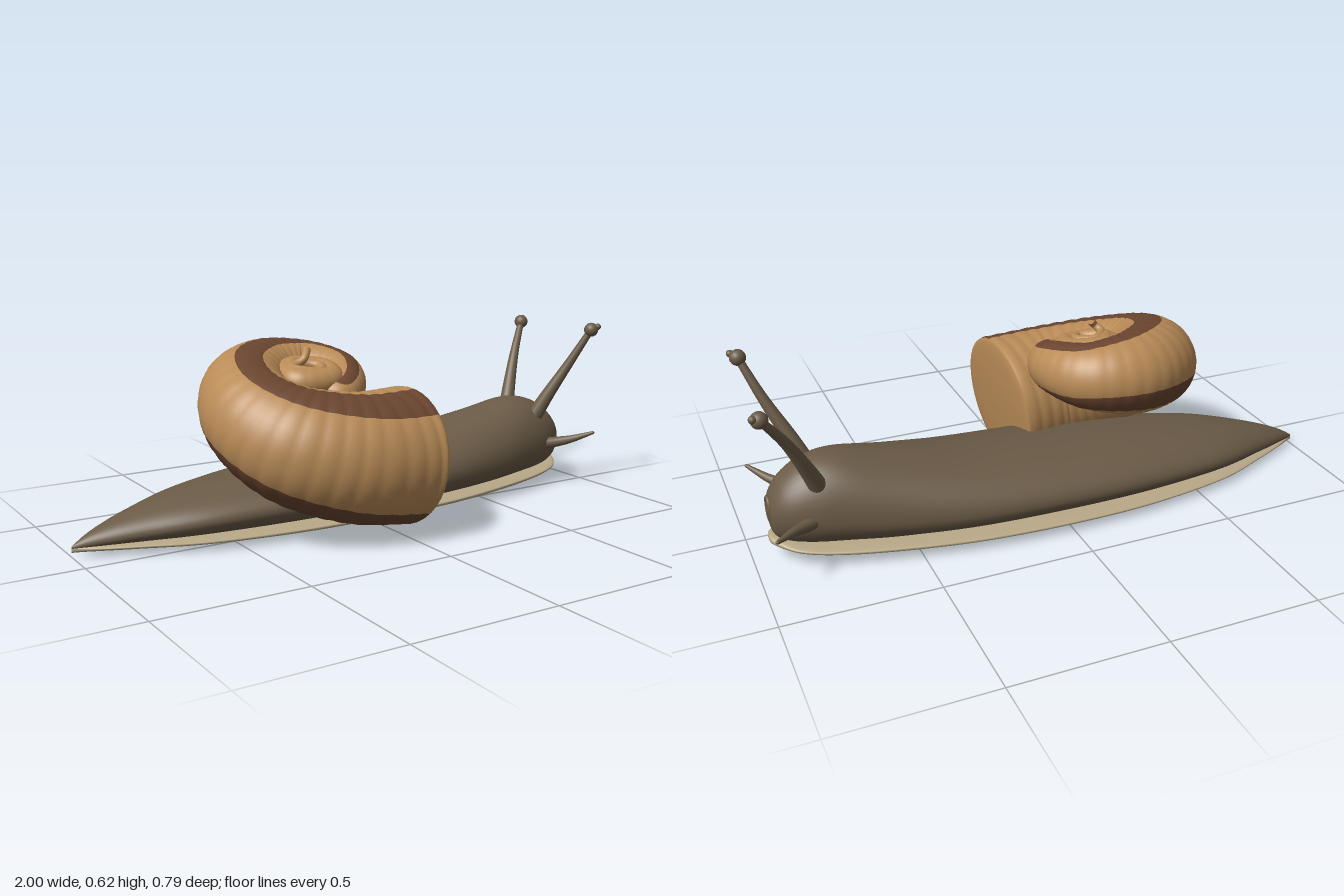
import * as THREE from 'three';

const mat = (name, color) => new THREE.MeshStandardMaterial({ name, color });
const V = (x, y, z) => new THREE.Vector3(x, y, z);
const MID = -0.125; // z of the body's centre line

// Catmull-Rom interpolation of every column in a table of rows
function sample(rows, steps) {
  const out = [], n = rows.length - 1;
  for (let i = 0; i <= steps; i++) {
    const u = (i / steps) * n, k = Math.min(Math.floor(u), n - 1), t = u - k;
    const at = (m) => rows[Math.max(0, Math.min(n, m))];
    out.push(rows[0].map((_, c) => {
      const a = at(k - 1)[c], b = at(k)[c], d = at(k + 1)[c], e = at(k + 2)[c];
      return b + 0.5 * t * (d - a + t * (2 * a - 5 * b + 4 * d - e + t * (3 * (b - d) + e - a)));
    }));
  }
  return out;
}

// Skin over closed rings of points; paint(i, j) picks the material of a cell
function loft(rings, paint = () => 0) {
  const seg = rings[0].length, buckets = [[], []];
  for (let i = 0; i < rings.length - 1; i++) {
    for (let j = 0; j < seg; j++) {
      const k = (j + 1) % seg;
      const a = i * seg + j, b = a + seg, c = i * seg + k, d = c + seg;
      buckets[paint(i, j)].push(a, b, c, b, d, c);
    }
  }
  const geo = new THREE.BufferGeometry().setFromPoints(rings.flat());
  geo.setIndex(buckets.flat());
  geo.addGroup(0, buckets[0].length, 0);
  if (buckets[1].length) geo.addGroup(buckets[0].length, buckets[1].length, 1);
  geo.computeVertexNormals();
  return geo;
}

// Round rings swept along rows of [x, y, z, radius], closed by a dome at the end
function sweep(rows, steps, seg, axis, dome, rib = () => 1) {
  const pts = sample(rows, steps), rings = [];
  const pos = (i) => V(pts[i][0], pts[i][1], pts[i][2]);
  let T, N, B;
  const ring = (c, r) => Array.from({ length: seg }, (_, j) => {
    const a = (j / seg) * Math.PI * 2;
    return c.clone().addScaledVector(N, r * Math.cos(a)).addScaledVector(B, r * Math.sin(a));
  });
  for (let i = 0; i <= steps; i++) {
    T = pos(Math.min(i + 1, steps)).sub(pos(Math.max(i - 1, 0))).normalize();
    N = T.clone().cross(axis).normalize();
    B = N.clone().cross(T);
    rings.push(ring(pos(i), pts[i][3] * rib(i)));
  }
  const end = pos(steps), r = pts[steps][3];
  for (let k = 1; k <= 8; k++) {
    const a = (k / 8) * Math.PI / 2;
    rings.push(ring(end.clone().addScaledVector(T, dome * r * Math.sin(a)), r * Math.max(Math.cos(a), 0.001)));
  }
  return rings;
}

// Rows of [x, middle y, half width, top y, bottom y] turned into egg-shaped rings
function slugRings(rows, steps, seg) {
  return sample(rows, steps).map(([x, mid, w, top, bottom]) =>
    Array.from({ length: seg }, (_, j) => {
      const a = (j / seg) * Math.PI * 2, s = Math.sin(a);
      return V(x, mid + s * (s > 0 ? top - mid : mid - bottom), MID + Math.max(w, 0.001) * Math.cos(a));
    }));
}

export function createModel() {
  const model = new THREE.Group();
  const skin = mat('brown skin', 0x6b5b47);
  const sole = mat('cream sole', 0xb8a888);
  const shellTan = mat('tan shell', 0xb98b57);
  const shellBand = mat('brown shell band', 0x6b4630);
  const add = (name, geo, material, parent = model) => {
    const mesh = new THREE.Mesh(geo, material);
    mesh.name = name;
    parent.add(mesh);
    return mesh;
  };

  // Body, from tail to head
  add('body', loft(slugRings([
    [-1.0, 0.03, 0.002, 0.035, 0.025],
    [-0.93, 0.045, 0.04, 0.075, 0.025],
    [-0.8, 0.065, 0.1, 0.12, 0.025],
    [-0.6, 0.09, 0.18, 0.165, 0.022],
    [-0.3, 0.11, 0.235, 0.205, 0.02],
    [0.0, 0.12, 0.25, 0.228, 0.02],
    [0.3, 0.125, 0.235, 0.255, 0.02],
    [0.55, 0.135, 0.195, 0.3, 0.025],
    [0.72, 0.155, 0.158, 0.333, 0.035],
    [0.82, 0.165, 0.132, 0.318, 0.045],
    [0.89, 0.17, 0.1, 0.275, 0.06],
    [0.93, 0.17, 0.058, 0.22, 0.09],
    [0.943, 0.165, 0.002, 0.167, 0.163],
  ], 96, 40)), skin);

  // Flat foot, lifted a little under the head
  add('foot', loft(slugRings([
    [-1.0, 0.025, 0.002, 0.035, 0.015],
    [-0.93, 0.026, 0.042, 0.038, 0.013],
    [-0.8, 0.028, 0.103, 0.04, 0.01],
    [-0.6, 0.03, 0.183, 0.045, 0.007],
    [-0.3, 0.034, 0.238, 0.05, 0.003],
    [0.0, 0.038, 0.253, 0.053, 0.002],
    [0.3, 0.04, 0.238, 0.056, 0.003],
    [0.55, 0.044, 0.198, 0.06, 0.009],
    [0.75, 0.05, 0.152, 0.066, 0.022],
    [0.87, 0.06, 0.108, 0.075, 0.038],
    [0.935, 0.068, 0.04, 0.082, 0.052],
    [0.945, 0.068, 0.002, 0.069, 0.067],
  ], 72, 40)), sole);

  // Dark oval under the foot
  const oval = add('footOval', new THREE.CylinderGeometry(1, 1, 0.008, 32), skin);
  oval.scale.set(0.11, 1, 0.035);
  oval.position.set(0.4, 0.005, MID);

  // Mouth ring
  const mouth = add('mouth', new THREE.TorusGeometry(0.032, 0.007, 12, 32), skin);
  mouth.rotation.y = Math.PI / 2;
  mouth.scale.set(0.8, 1.15, 1);
  mouth.position.set(0.935, 0.175, MID);

  // Eye stalks and feelers, one of each per side
  const forward = V(1, 0, 0);
  for (const [side, s, ex, ey, fy] of [['left', 1, 0.945, 0.598, 0.208], ['right', -1, 0.965, 0.583, 0.193]]) {
    const z = (d) => MID + s * d;
    const stalk = new THREE.Group();
    stalk.name = side + 'EyeStalk';
    model.add(stalk);
    add('stalk', loft(sweep([
      [0.79, 0.26, z(0.082), 0.03],
      [0.83, 0.35, z(0.115), 0.024],
      [0.89, 0.47, z(0.16), 0.017],
      [ex, ey, z(0.213), 0.012],
    ], 24, 20, forward, 0.5)), skin, stalk);
    add('eyeball', new THREE.SphereGeometry(0.026, 24, 16), skin, stalk).position.set(ex, ey, z(0.213));
    add('pupil', new THREE.SphereGeometry(0.012, 16, 12), skin, stalk).position.set(ex + 0.02, ey + 0.011, z(0.226));

    add(side + 'Feeler', loft(sweep([
      [0.8, 0.16, z(0.1), 0.022],
      [0.85, 0.165, z(0.135), 0.02],
      [0.9, 0.18, z(0.18), 0.014],
      [0.955, fy, z(0.235), 0.006],
    ], 20, 16, forward, 1)), skin);
  }

  // Shell tube, coiling from the apex down to the opening: [x, y, z, radius]
  const coil = [
    [-0.19, 0.597, -0.06, 0.014],
    [-0.215, 0.57, -0.035, 0.013],
    [-0.23, 0.55, -0.06, 0.014],
    [-0.19, 0.545, -0.1, 0.016],
    [-0.14, 0.535, -0.065, 0.018],
    [-0.17, 0.522, -0.01, 0.02],
    [-0.24, 0.525, -0.05, 0.028],
    [-0.2, 0.53, -0.135, 0.036],
    [-0.11, 0.515, -0.1, 0.042],
    [-0.13, 0.495, -0.01, 0.045],
  ];
  // The coil widens fast over its last turn and a half
  const outer = [
    [-0.24, 0.495, -0.03, 0.05],
    [-0.22, 0.505, -0.14, 0.055],
    [-0.11, 0.49, -0.12, 0.058],
    [-0.12, 0.45, 0.005, 0.06],
    [-0.25, 0.47, -0.01, 0.07],
  ];
  const whorl = [
    [-0.24, 0.48, -0.26, 0.135],
    [-0.1, 0.49, -0.25, 0.11],
    [-0.035, 0.485, -0.135, 0.088],
    [-0.06, 0.462, -0.035, 0.074],
    [-0.12, 0.445, 0.01, 0.062],
  ].reverse();
  const bigWhorl = [
    [-0.37, 0.45, -0.16, 0.15],
    [-0.41, 0.39, -0.01, 0.17],
    [-0.33, 0.32, 0.115, 0.195],
    [-0.15, 0.27, 0.175, 0.215],
    [0.05, 0.25, 0.16, 0.232],
  ];
  const rows = [...coil, ...outer.slice(0, 3), ...whorl, ...bigWhorl];
  const axis = V(0.15, 0.95, 0.3).normalize();
  const perRow = 24, steps = (rows.length - 1) * perRow, seg = 40;
  // Fine growth ribs along the tube
  const rib = (i) => 1 - 0.014 * (1 - Math.abs(Math.sin((i / 6) * Math.PI / 1)));
  const rings = sweep(rows, steps, seg, axis, 0.08, rib);
  // Two bands, one above and one below the outer edge
  const banded = (i, j) => (i < steps && i > 10 * perRow && ((j >= 7 && j < 11) || (j >= 33 && j < 37)) ? 1 : 0);
  add('shell', loft(rings, banded), [shellTan, shellBand]);

  return model;
}
